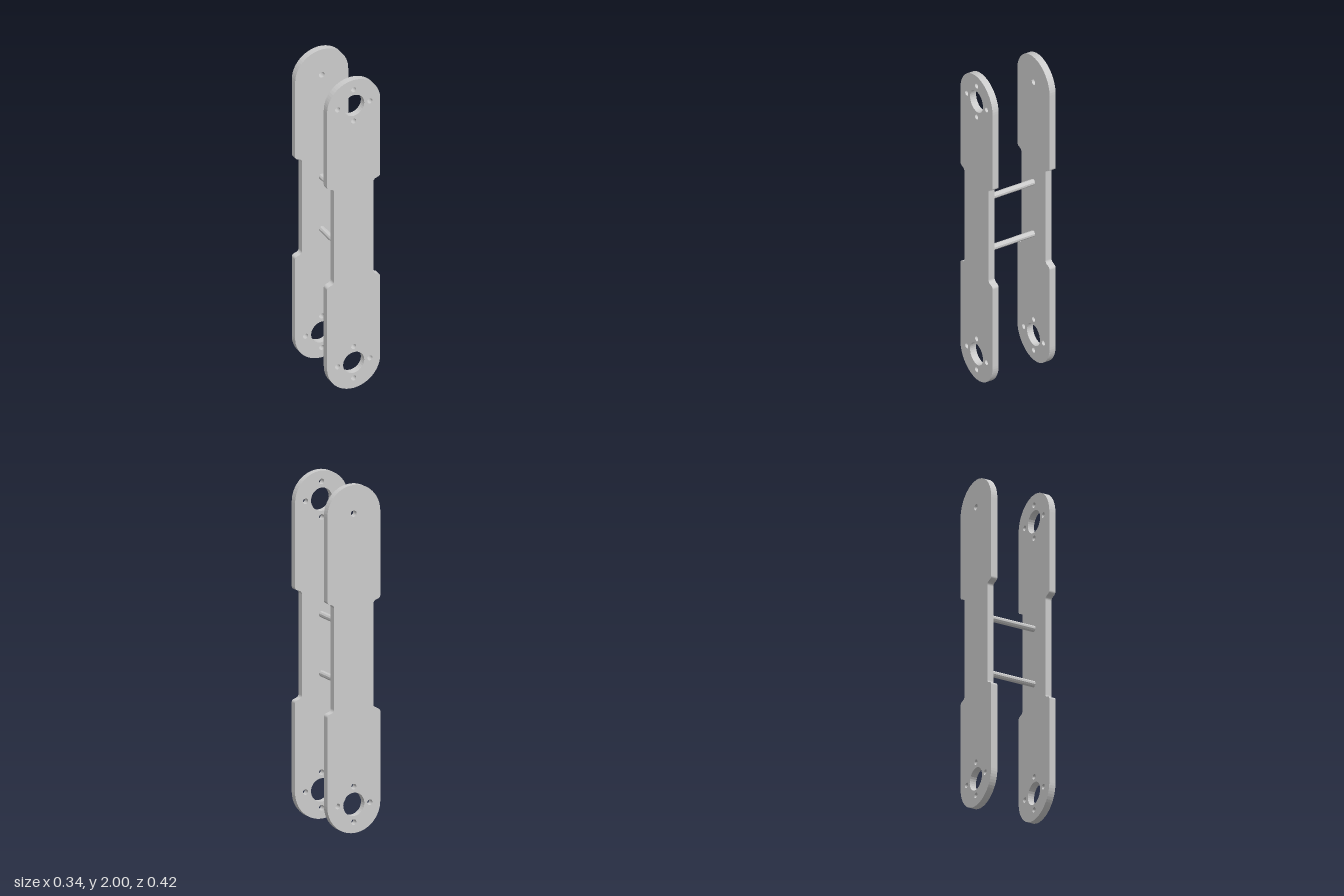
import * as THREE from 'three';

const R = 0.168;                 // half width and end radius
const WAIST = 0.125;             // half width of the narrow middle
const THICK = 0.04, INNER = 0.168;
const TOP = 1.835, BOTTOM = 0.165;

function circle(x, y, r) {
  return new THREE.Path().absarc(x, y, r, 0, Math.PI * 2, true);
}

// Large bearing hole with four screw holes around it
function hubHoles(y) {
  const holes = [circle(0, y, 0.067)];
  for (let i = 0; i < 4; i++) {
    const a = i * Math.PI / 2;
    holes.push(circle(0.102 * Math.cos(a), y + 0.102 * Math.sin(a), 0.016));
  }
  return holes;
}

// Round-ended bar with S-shaped shoulders down to the waist
function plateShape(holes) {
  const s = new THREE.Shape(), mid = (R + WAIST) / 2;
  s.moveTo(R, R);
  s.lineTo(R, 0.68);
  s.quadraticCurveTo(R, 0.696, mid, 0.701);
  s.quadraticCurveTo(WAIST, 0.706, WAIST, 0.724);
  s.lineTo(WAIST, 1.304);
  s.quadraticCurveTo(WAIST, 1.322, mid, 1.327);
  s.quadraticCurveTo(R, 1.332, R, 1.348);
  s.lineTo(R, 2 - R);
  s.absarc(0, 2 - R, R, 0, Math.PI, false);
  s.lineTo(-R, 1.348);
  s.quadraticCurveTo(-R, 1.332, -mid, 1.327);
  s.quadraticCurveTo(-WAIST, 1.322, -WAIST, 1.304);
  s.lineTo(-WAIST, 0.724);
  s.quadraticCurveTo(-WAIST, 0.706, -mid, 0.701);
  s.quadraticCurveTo(-R, 0.696, -R, 0.68);
  s.lineTo(-R, R);
  s.absarc(0, R, R, Math.PI, Math.PI * 2, false);
  s.holes.push(...holes);
  return s;
}

export function createModel() {
  const group = new THREE.Group();
  const material = new THREE.MeshStandardMaterial({ color: 0xcccccc, flatShading: true });

  function add(name, geometry, x, y, z) {
    const mesh = new THREE.Mesh(geometry, material);
    mesh.name = name;
    mesh.position.set(x, y, z);
    group.add(mesh);
    return mesh;
  }

  // Side plates: the rear one has only a pivot hole at the top
  const plate = (holes) => new THREE.ExtrudeGeometry(plateShape(holes),
    { depth: THICK, bevelEnabled: false, curveSegments: 16 });
  add('frontPlate', plate([...hubHoles(TOP), ...hubHoles(BOTTOM)]), 0, 0, INNER);
  add('backPlate', plate([circle(0, TOP, 0.018), ...hubHoles(BOTTOM)]), 0, 0, -INNER - THICK);

  // Spacer rods between the plates
  for (const [name, y] of [['upperSpacer', 1.175], ['lowerSpacer', 0.835]]) {
    add(name, new THREE.CylinderGeometry(0.018, 0.018, INNER * 2, 10), 0, y, 0).rotation.x = Math.PI / 2;
  }
  return group;
}
